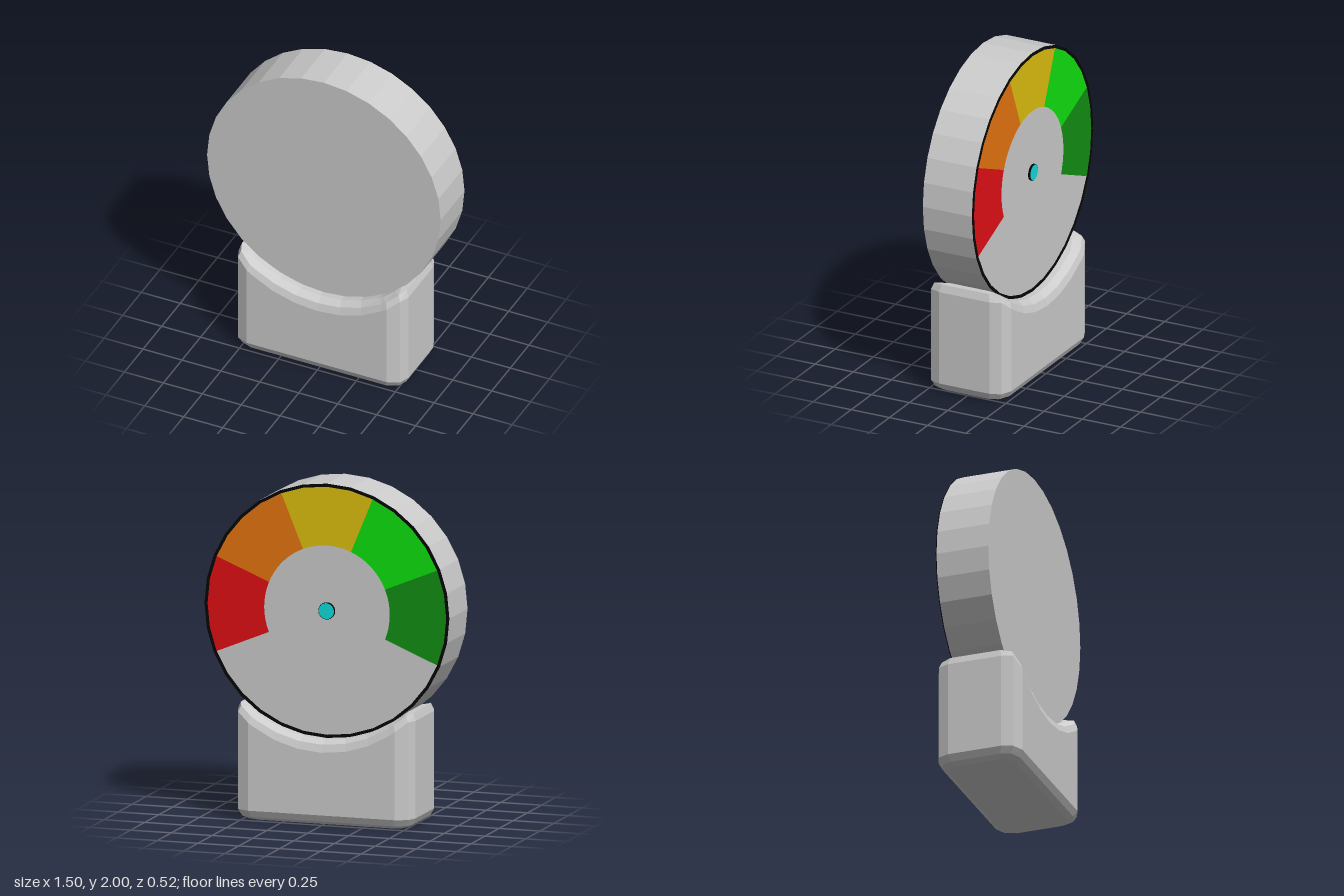
import * as THREE from 'three';

const R = 0.75, CY = 1.25, HALF = 0.163;

const mat = (color = 0xcccccc) => new THREE.MeshStandardMaterial({ color, flatShading: true });

function add(parent, name, geometry, material) {
  const mesh = new THREE.Mesh(geometry, material);
  mesh.name = name;
  parent.add(mesh);
  return mesh;
}

// Height of the cradle that the dial rests in
const saddle = (x) => Math.min(0.705, CY - Math.sqrt(R * R - x * x));

// Chamfered block lofted from plan outlines, its top following the dial
function baseGeometry() {
  const half = [[0.545, 0.165], [0.52, 0.23], [0.45, 0.26], [0.417, 0.26], [0.287, 0.26], [0.146, 0.26], [0, 0.26]];
  const front = [...half, ...half.slice(0, -1).reverse().map(([x, z]) => [-x, z])];
  const plan = [...front, ...front.slice().reverse().map(([x, z]) => [x, -z])];
  const n = plan.length;
  // inset from the outline, and height at x
  const layers = [
    [0.055, () => 0],
    [0.02, () => 0.02],
    [0, () => 0.06],
    [0, (x) => saddle(x) - 0.07],
    [0.015, (x) => saddle(x) - 0.025],
    [0.06, (x) => saddle(x)],
  ];
  const pos = [], idx = [];
  for (const [inset, height] of layers) {
    for (const [px, pz] of plan) {
      const x = px * (1 - inset / 0.545);
      pos.push(x, height(x), pz * (1 - inset / 0.26));
    }
  }
  const quad = (a, b, c, d) => idx.push(a, b, c, a, c, d);
  for (let l = 0; l < layers.length - 1; l++) {
    for (let i = 0; i < n; i++) {
      const j = (i + 1) % n, lo = l * n, hi = lo + n;
      quad(lo + j, lo + i, hi + i, hi + j);
    }
  }
  // Caps as strips running front to back
  const t = (layers.length - 1) * n;
  for (let i = 0; i < front.length - 1; i++) {
    quad(t + i, t + n - 1 - i, t + n - 2 - i, t + i + 1);
    quad(i + 1, n - 2 - i, n - 1 - i, i);
  }
  const g = new THREE.BufferGeometry();
  g.setAttribute('position', new THREE.Float32BufferAttribute(pos, 3));
  g.setIndex(idx);
  const flat = g.toNonIndexed();
  flat.computeVertexNormals();
  return flat;
}

export function createModel() {
  const model = new THREE.Group();
  model.name = 'dialOnStand';
  add(model, 'base', baseGeometry(), mat());

  const dial = new THREE.Group();
  dial.name = 'dial';
  dial.position.y = CY;
  model.add(dial);

  // Drum, its axis along z
  const back = -HALF + 0.005;
  const drum = new THREE.CylinderGeometry(R, R, HALF - back, 32).rotateX(-Math.PI / 2);
  add(dial, 'drum', drum, mat()).position.z = (HALF + back) / 2;

  // Thin black rim round the back face
  const profile = [[0.732, 0], [R, 0], [R, 0.005], [0.732, 0.005], [0.732, 0]].map(([x, y]) => new THREE.Vector2(x, y));
  const rim = new THREE.LatheGeometry(profile, 32).rotateX(-Math.PI / 2);
  add(dial, 'rim', rim, mat(0x050505)).position.z = back;

  // Five coloured sectors on the back face
  const step = Math.PI / 4;
  [['red', 0xe00f14], ['orange', 0xe5740e], ['yellow', 0xdcbe0e], ['green', 0x0fe00f], ['darkGreen', 0x128f12]]
    .forEach(([name, color], k) => {
      const g = new THREE.RingGeometry(0.385, 0.734, 8, 1, (3.5 - k) * step, step).rotateY(Math.PI);
      add(dial, name + 'Sector', g, mat(color)).position.z = back - 0.002;
    });

  // Centre pivot with a teal face
  const pivot = new THREE.CylinderGeometry(0.05, 0.05, 0.012, 24).rotateX(Math.PI / 2);
  add(dial, 'pivot', pivot, mat(0x050505)).position.z = back - 0.006;
  const face = new THREE.CircleGeometry(0.047, 24).rotateY(Math.PI);
  add(dial, 'pivotFace', face, mat(0x0edcdc)).position.z = back - 0.0135;
  return model;
}
